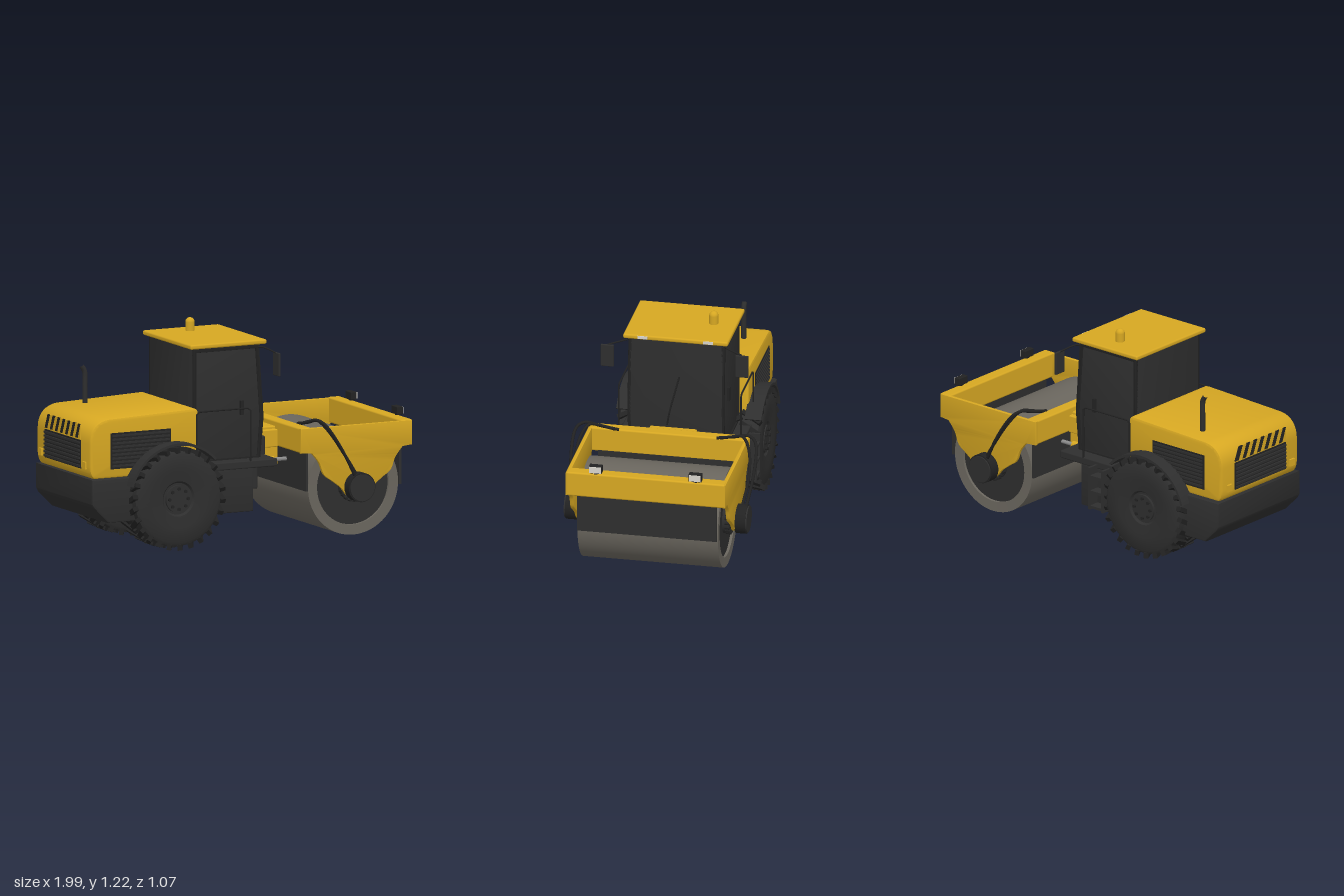
import * as THREE from 'three';
import { mergeGeometries, toCreasedNormals } from 'three/addons/utils/BufferGeometryUtils.js';
import { RoundedBoxGeometry } from 'three/addons/geometries/RoundedBoxGeometry.js';

const material = (name, color) => {
  const m = new THREE.MeshStandardMaterial({ color });
  m.name = name;
  return m;
};

export function createModel() {
  const model = new THREE.Group();
  model.name = 'roadRoller';
  const yellow = material('yellow paint', 0xd6a722);
  const dark = material('dark grey', 0x2e2e2e);
  const black = material('black rubber', 0x222222);
  const steel = material('drum steel', 0x69655d);
  const lens = material('lamp lens', 0xd8d4cc);
  const chrome = material('piston rod', 0x8a8a8a);
  const sides = [1, -1];
  const V = (x, y, z) => new THREE.Vector3(x, y, z);

  const add = (name, mat, geo) => {
    const mesh = new THREE.Mesh(geo, mat);
    mesh.name = name;
    model.add(mesh);
    return mesh;
  };
  // box given by its limits, with optional rounded edges
  const box = (name, mat, x0, x1, y0, y1, z0, z1, r = 0) => {
    const size = [x1 - x0, y1 - y0, Math.abs(z1 - z0)];
    const geo = r ? new RoundedBoxGeometry(...size, 2, r) : new THREE.BoxGeometry(...size);
    return add(name, mat, geo.translate((x0 + x1) / 2, (y0 + y1) / 2, (z0 + z1) / 2));
  };
  // disc or drum lying along z
  const disc = (name, mat, x, y, z0, z1, r, seg = 40) =>
    add(name, mat, new THREE.CylinderGeometry(r, r, Math.abs(z1 - z0), seg)
      .rotateX(Math.PI / 2).translate(x, y, (z0 + z1) / 2));
  // side profile extruded across z, with bevelled edges
  const slab = (name, mat, shape, z0, z1, b = 0.01) => {
    const geo = new THREE.ExtrudeGeometry(shape, {
      depth: Math.abs(z1 - z0) - 2 * b, bevelEnabled: b > 0, bevelSize: b,
      bevelThickness: b, bevelOffset: -b, bevelSegments: 2, curveSegments: 12,
    });
    geo.translate(0, 0, Math.min(z0, z1) + b);
    return add(name, mat, toCreasedNormals(geo, 0.6));
  };
  const poly = (pts) => new THREE.Shape(pts.map((p) => new THREE.Vector2(...p)));
  const tube = (name, mat, pts, r, smooth = true) => {
    const path = new THREE.CatmullRomCurve3(pts, false, 'catmullrom', smooth ? 0.5 : 0.02);
    return add(name, mat, new THREE.TubeGeometry(path, 32, r, 8));
  };

  // rear chassis and platform
  slab('chassis', dark, poly([[-0.98, 0.29], [-0.965, 0.265], [-0.88, 0.18], [0.035, 0.18],
    [0.035, 0.43], [-0.98, 0.43]]), -0.355, 0.355, 0.012);
  box('platform', dark, -0.32, 0.185, 0.425, 0.47, -0.355, 0.355, 0.008);
  box('cabFrontBox', dark, 0.1, 0.185, 0.465, 0.575, -0.2, 0.2, 0.006);

  // engine hood with rounded tail
  const hood = new THREE.Shape();
  hood.moveTo(-0.95, 0.43);
  hood.lineTo(-0.3, 0.43);
  hood.lineTo(-0.3, 0.77);
  hood.quadraticCurveTo(-0.31, 0.788, -0.34, 0.787);
  hood.lineTo(-0.86, 0.767);
  hood.bezierCurveTo(-0.94, 0.76, -0.983, 0.71, -0.983, 0.63);
  hood.lineTo(-0.983, 0.5);
  hood.quadraticCurveTo(-0.98, 0.44, -0.95, 0.43);
  slab('hood', yellow, hood, -0.33, 0.33, 0.016);

  // hood side vents
  for (const s of sides) {
    box('ventPanel', black, -0.855, -0.475, 0.48, 0.685, s * 0.326, s * 0.333);
    for (let i = 0; i < 9; i++) {
      const y = 0.492 + i * 0.0215;
      box('ventSlat', dark, -0.845, -0.485, y, y + 0.011, s * 0.33, s * 0.339);
    }
    box('tailLamp', yellow, -0.995, -0.975, 0.485, 0.525, s * 0.25, s * 0.29);
  }

  // tail grille and hazard stripes
  box('tailGrille', black, -0.988, -0.975, 0.48, 0.64, -0.22, 0.22);
  for (let i = 0; i < 7; i++) {
    const y = 0.488 + i * 0.022;
    box('tailSlat', dark, -0.997, -0.98, y, y + 0.011, -0.215, 0.215);
  }
  const stripes = 14, step = 0.44 / stripes;
  for (let i = 0; i < stripes; i++) {
    const z = -0.22 + i * step;
    const lean = (d) => Math.min(0.22, d + 0.035);
    const shape = poly([[z, 0.648], [z + step, 0.648], [lean(z + step), 0.73], [lean(z), 0.73]]);
    add('hazardStripe', i % 2 ? yellow : black, new THREE.ExtrudeGeometry(shape,
      { depth: 0.006, bevelEnabled: false }).rotateY(-Math.PI / 2).translate(-0.982, 0, 0));
  }

  // exhaust
  tube('exhaust', dark, [V(-0.74, 0.76, -0.21), V(-0.74, 0.86, -0.21), V(-0.741, 0.945, -0.21),
    V(-0.762, 0.985, -0.21)], 0.015);

  // cab: glass body between two side frames
  const cabPts = [[-0.305, 0.45], [0.115, 0.45], [0.138, 0.7], [0.108, 1.118], [-0.305, 1.118]];
  slab('cabGlass', dark, poly(cabPts), -0.268, 0.268, 0.004);
  for (const s of sides) {
    const frame = poly(cabPts);
    frame.holes.push(poly([[-0.285, 0.48], [-0.285, 1.09], [0.087, 1.09], [0.115, 0.7], [0.097, 0.48]]));
    slab('cabSideFrame', black, frame, s * 0.255, s * 0.276, 0.003);
    box('doorHandle', black, -0.01, 0.01, 0.72, 0.8, s * 0.268, s * 0.283);
    // handrail and mirror
    tube('handrail', black, [V(-0.32, 0.45, s * 0.35), V(-0.32, 0.767, s * 0.35),
      V(0.017, 0.767, s * 0.35), V(0.017, 0.45, s * 0.35)], 0.005, false);
    tube('mirrorArm', black, [V(0.1, 1.095, s * 0.27), V(0.13, 1.095, s * 0.3),
      V(0.16, 1.075, s * 0.385)], 0.005);
    box('mirror', dark, 0.157, 0.171, 0.945, 1.077, s * 0.348, s * 0.422, 0.004);
    box('roofLamp', lens, 0.1, 0.148, 1.12, 1.137, s * 0.16, s * 0.215);
  }
  box('roof', yellow, -0.333, 0.146, 1.114, 1.141, -0.3, 0.3, 0.01);
  tube('wiper', black, [V(0.13, 0.6, 0.05), V(0.142, 0.7, 0.03), V(0.13, 0.9, -0.02)], 0.005);

  // beacon
  add('beacon', yellow, new THREE.CylinderGeometry(0.026, 0.026, 0.06, 20).translate(-0.1, 1.16, -0.17));
  add('beaconDome', yellow, new THREE.SphereGeometry(0.026, 20, 10, 0, Math.PI * 2, 0, Math.PI / 2)
    .translate(-0.1, 1.19, -0.17));

  // boarding ladder on the right-hand side
  for (const x of [-0.185, -0.09]) box('ladderRail', dark, x, x + 0.014, 0.2, 0.45, -0.42, -0.35);
  for (const y of [0.21, 0.3, 0.39]) box('ladderStep', dark, -0.18, -0.08, y, y + 0.015, -0.42, -0.35);

  // rear wheels
  const wx = -0.46, wy = 0.293;
  const half = [[0, 0.092], [0.09, 0.092], [0.1, 0.104], [0.17, 0.113], [0.25, 0.112], [0.268, 0.1], [0.272, 0.04]];
  const tyrePts = [...half.map(([r, z]) => new THREE.Vector2(r, -z)),
    ...half.slice().reverse().map(([r, z]) => new THREE.Vector2(r, z))];
  for (const s of sides) {
    const z = s * 0.295;
    add('tyre', dark, toCreasedNormals(new THREE.LatheGeometry(tyrePts, 48), 0.6)
      .rotateX(Math.PI / 2).translate(wx, wy, z));
    const lugs = [];
    for (let i = 0; i < 26; i++) for (const k of sides) {
      lugs.push(new THREE.BoxGeometry(0.026, 0.032, 0.13).rotateY(k * 0.5).translate(0, 0.275, k * 0.055)
        .rotateZ((i + (k > 0 ? 0.5 : 0)) * Math.PI / 13));
    }
    add('tyreLugs', black, mergeGeometries(lugs).translate(wx, wy, z));
    disc('wheelHub', dark, wx, wy, s * 0.37, s * 0.4, 0.078);
    for (let i = 0; i < 8; i++) {
      const a = i * Math.PI / 4;
      disc('wheelBolt', black, wx + 0.058 * Math.cos(a), wy + 0.058 * Math.sin(a), s * 0.395, s * 0.41, 0.01, 6);
    }
    // curved mudguard
    const guard = new THREE.Shape();
    guard.absarc(wx, wy, 0.318, 0.75, 2.85, false);
    guard.absarc(wx, wy, 0.304, 2.85, 0.75, true);
    slab('mudguard', dark, guard, s * 0.32, s * 0.415, 0);
  }

  // articulation joint and steering rams
  box('jointLower', dark, 0.03, 0.1, 0.285, 0.43, -0.14, 0.14);
  box('jointBlock', dark, 0.095, 0.19, 0.26, 0.43, -0.1, 0.1, 0.008);
  box('jointYoke', yellow, 0.188, 0.3, 0.395, 0.615, -0.135, 0.135, 0.008);
  for (const s of sides) {
    const ram = (name, mat, x0, x1, r) => add(name, mat, new THREE.CylinderGeometry(r, r, x1 - x0, 16)
      .rotateZ(Math.PI / 2).translate((x0 + x1) / 2, 0.428, s * 0.152));
    ram('steeringRam', yellow, 0.03, 0.26, 0.021);
    ram('steeringRod', chrome, 0.25, 0.34, 0.011);
    box('ramBracket', yellow, 0.19, 0.285, 0.5, 0.6, s * 0.12, s * 0.165, 0.006);
  }

  // drum frame
  box('frameFrontBeam', yellow, 0.91, 0.983, 0.503, 0.648, -0.455, 0.455, 0.01);
  box('frameRearBeam', yellow, 0.28, 0.352, 0.503, 0.645, -0.455, 0.455, 0.01);
  const dx = 0.635, dy = 0.293;
  const dip = [[0.285, 0.206], [0.24, 0.15], [0.21, 0.08], [0.16, 0.042], [0.105, 0], [0.06, -0.05]];
  const cheek = new THREE.Shape();
  cheek.moveTo(0.28, 0.643);
  cheek.lineTo(0.28, 0.503);
  cheek.lineTo(dx - dip[0][0], dy + dip[0][1]);
  cheek.splineThru([...dip.slice(1).map(([x, y]) => [dx - x, dy + y]), [dx, dy - 0.068],
    ...dip.slice().reverse().map(([x, y]) => [dx + x, dy + y])].map((p) => new THREE.Vector2(...p)));
  cheek.lineTo(0.98, 0.505);
  cheek.lineTo(0.98, 0.643);
  for (const s of sides) {
    slab('frameCheek', yellow, cheek, s * 0.435, s * 0.457, 0.003);
    // headlamps on the front beam
    box('headlampBody', black, 0.953, 0.99, 0.655, 0.7, s * 0.248, s * 0.322, 0.004);
    box('headlampLens', lens, 0.988, 0.995, 0.66, 0.696, s * 0.252, s * 0.318);
    box('headlampFoot', black, 0.962, 0.978, 0.64, 0.66, s * 0.275, s * 0.295);
  }
  box('frontScraper', dark, 0.925, 0.94, 0.275, 0.51, -0.4, 0.4);
  box('rearScraper', dark, 0.34, 0.353, 0.275, 0.51, -0.4, 0.4);

  // drum
  const rim = [[0.225, -0.375], [0.225, -0.4], [0.283, -0.402], [0.283, 0.402], [0.225, 0.4], [0.225, 0.375]];
  add('drum', steel, toCreasedNormals(new THREE.LatheGeometry(rim.map((p) => new THREE.Vector2(...p)), 72), 0.6)
    .rotateX(Math.PI / 2).translate(dx, dy, 0));
  disc('drumEnds', dark, dx, dy, -0.385, 0.385, 0.2255, 64);
  for (const s of sides) {
    disc('drumFlange', dark, dx, dy, s * 0.38, s * 0.424, 0.088);
    for (let i = 0; i < 20; i++) {
      const a = i * Math.PI / 10;
      disc('flangeBolt', black, dx + 0.087 * Math.cos(a), dy + 0.087 * Math.sin(a), s * 0.4, s * 0.428, 0.008, 6);
    }
    disc('drumAxle', dark, dx, dy, s * 0.42, s * 0.46, 0.06);
    disc('drumMotor', black, dx, dy, s * 0.455, s * 0.515, 0.083);
    disc('drumMotorCap', dark, dx, dy, s * 0.51, s * 0.523, 0.076);
    // hydraulic hoses
    tube('hose', black, [V(0.35, 0.645, s * 0.28), V(0.362, 0.665, s * 0.38), V(0.38, 0.687, s * 0.47),
      V(0.42, 0.645, s * 0.52), V(0.51, 0.51, s * 0.523), V(0.6, 0.355, s * 0.5)], 0.009);
    tube('hose', black, [V(0.35, 0.645, s * 0.3), V(0.37, 0.672, s * 0.39), V(0.395, 0.68, s * 0.445),
      V(0.45, 0.61, s * 0.487), V(0.53, 0.49, s * 0.498), V(0.62, 0.36, s * 0.48)], 0.009);
  }
  return model;
}
